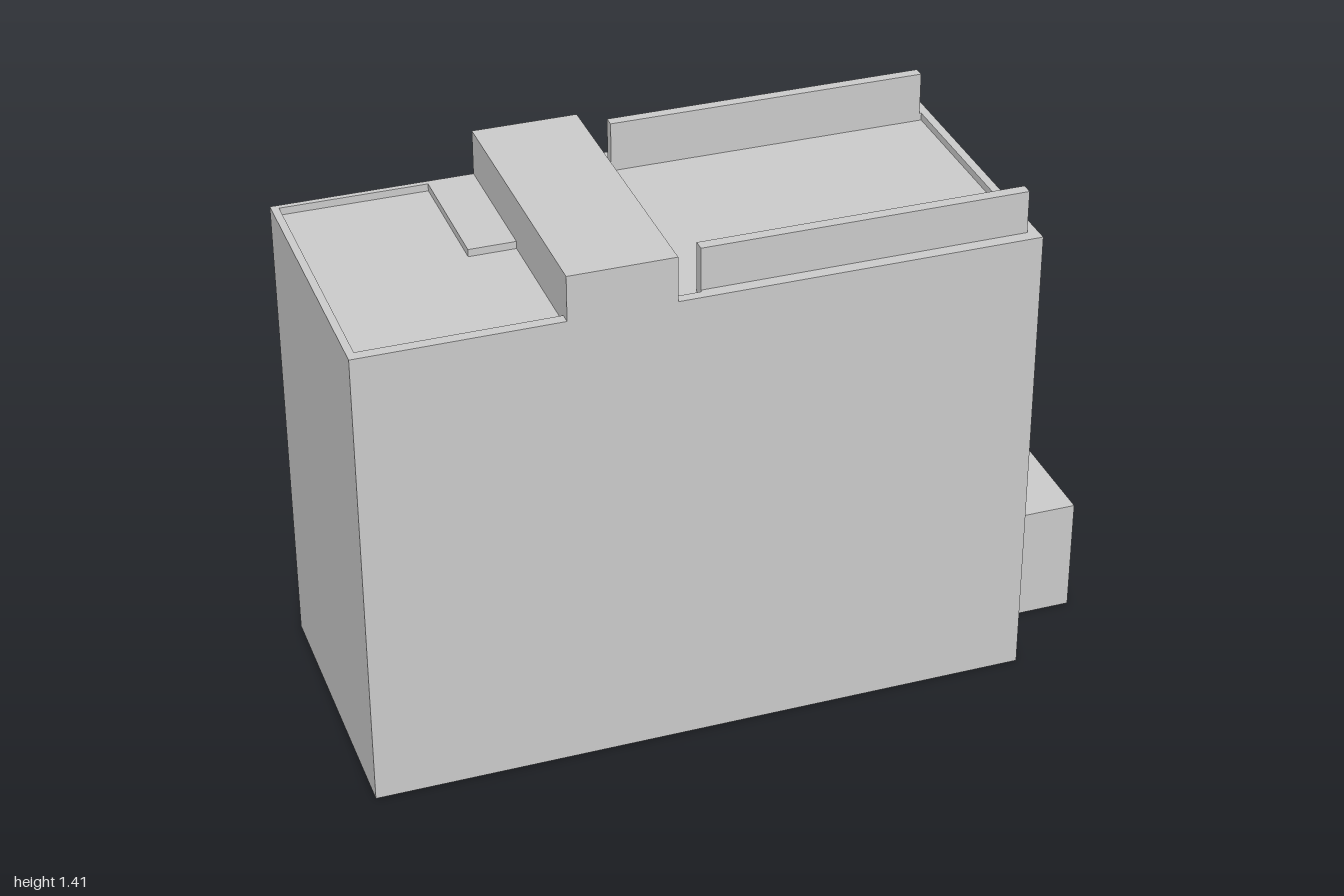
import * as THREE from 'three';
import { toCreasedNormals } from 'three/addons/utils/BufferGeometryUtils.js';

const material = new THREE.MeshStandardMaterial({ color: 0xcccccc });

// Building footprint and roof levels
const X0 = -1, X1 = 0.76, Z0 = -0.295, Z1 = 0.49;
const ROOF = 1.27, RIM = 1.29;

// Plan points are [x, z]; the shape's y axis is -z
const toPlan = (points) => points.map(([x, z]) => new THREE.Vector2(x, -z));

function extrudePlan(name, shape, bottom, top) {
  const geometry = new THREE.ExtrudeGeometry(shape, {
    depth: top - bottom, bevelEnabled: false, curveSegments: 16,
  });
  geometry.rotateX(-Math.PI / 2);
  geometry.translate(0, bottom, 0);
  const mesh = new THREE.Mesh(toCreasedNormals(geometry, 0.4), material);
  mesh.name = name;
  return mesh;
}

function block(name, x0, x1, y0, y1, z0, z1) {
  const mesh = new THREE.Mesh(new THREE.BoxGeometry(x1 - x0, y1 - y0, z1 - z0), material);
  mesh.position.set((x0 + x1) / 2, (y0 + y1) / 2, (z0 + z1) / 2);
  mesh.name = name;
  return mesh;
}

export function createModel() {
  const model = new THREE.Group();
  model.name = 'building';

  // Main tower up to the sunken roof decks
  model.add(block('tower', X0, X1, 0, ROOF, Z0, Z1));

  // Low rim around the two roof decks
  const rim = new THREE.Shape(toPlan([[X0, Z1], [X1, Z1], [X1, Z0], [X0, Z0]]));
  const smallDeck = [
    [-0.98, -0.28], [-0.594, -0.28], [-0.594, 0.08],
    [-0.47, 0.08], [-0.47, 0.46], [-0.98, 0.46],
  ];
  const largeDeck = [
    [-0.192, -0.27], [-0.123, -0.27], [-0.123, -0.228], [0.737, -0.228],
    [0.737, 0.425], [-0.123, 0.425], [-0.123, 0.463], [-0.192, 0.463],
  ];
  rim.holes.push(new THREE.Path(toPlan(smallDeck)), new THREE.Path(toPlan(largeDeck)));
  model.add(extrudePlan('roofRim', rim, ROOF, RIM));

  // Raised block crossing the roof
  model.add(block('roofBlock', -0.47, -0.192, RIM, 1.412, Z0, Z1));

  // Screen walls along both sides of the large deck
  for (const [name, z0, z1] of [['backScreen', -0.257, -0.228], ['frontScreen', 0.425, 0.456]]) {
    model.add(block(name, -0.123, 0.732, RIM, 1.405, z0, z1));
  }

  // Low podium wrapping the back left corner, with one rounded corner
  const podium = new THREE.Shape();
  podium.moveTo(X1, -0.295);
  podium.lineTo(1, -0.295);
  podium.lineTo(1, 0.16);
  podium.absarc(0.562, 0.16, 0.438, 0, 0.853, false);
  podium.lineTo(0.04, 0.49);
  podium.lineTo(0.04, -Z0);
  podium.lineTo(X1, -Z0);
  model.add(extrudePlan('podium', podium, 0, 0.32));

  return model;
}
